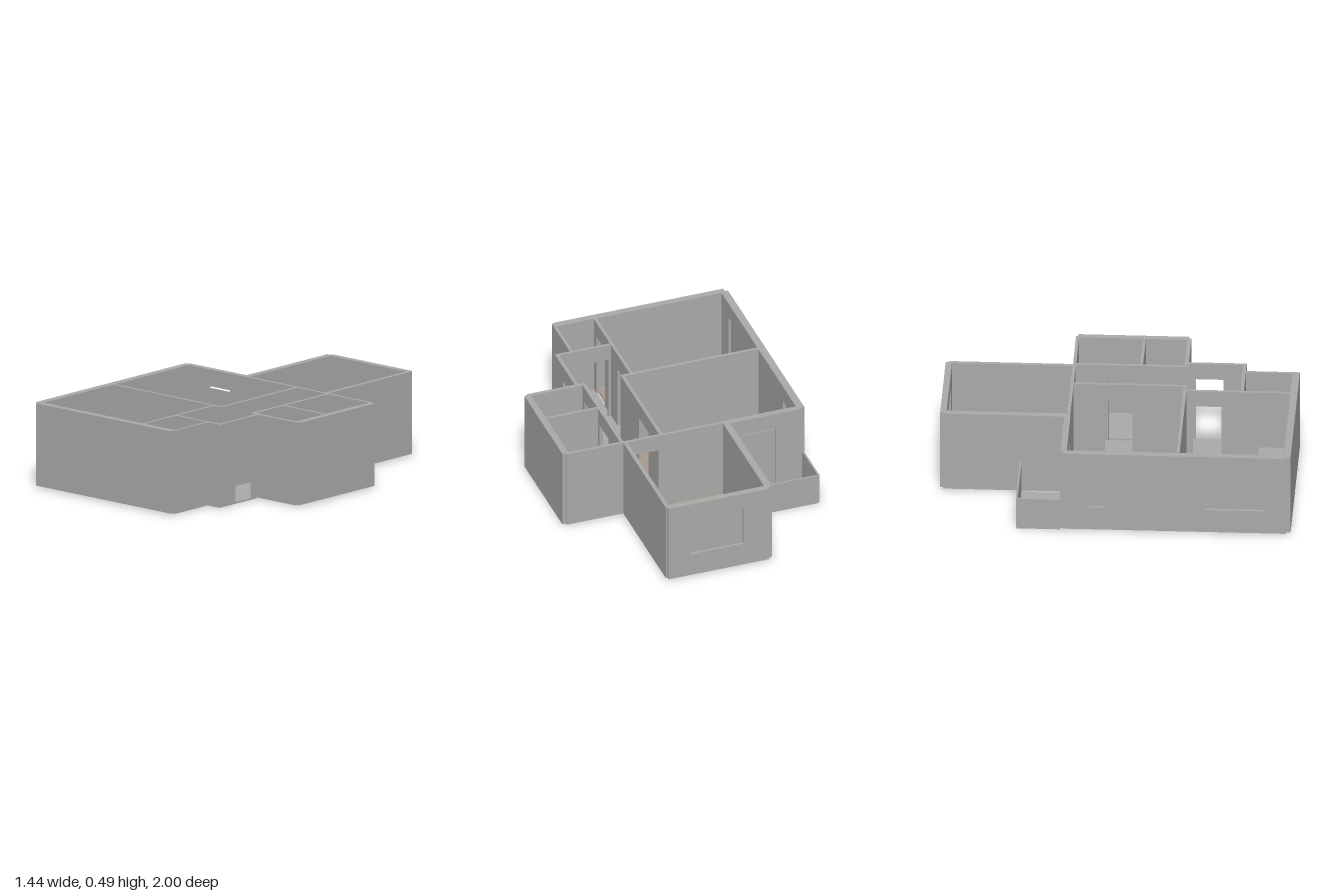
import * as THREE from 'three';

const BASE = 0.01, TOP = 0.487, HEAD = 0.39, SILL = 0.15;

export function createModel() {
  const house = new THREE.Group();
  house.name = 'floorPlanHouse';
  const plaster = new THREE.MeshStandardMaterial({ color: 0xaaaaa8 });
  plaster.name = 'plasterGrey';
  const wood = new THREE.MeshStandardMaterial({ color: 0xab998c });
  wood.name = 'woodBrown';

  function add(name, geometry, material) {
    const mesh = new THREE.Mesh(geometry, material);
    mesh.name = name;
    house.add(mesh);
    return mesh;
  }

  // Upright panel on the line x = at or z = at, running from a to b
  function place(mesh, axis, at, thick) {
    if (axis === 'x') mesh.position.z = at - thick / 2;
    else {
      mesh.rotation.y = -Math.PI / 2;
      mesh.position.x = at + thick / 2;
    }
  }

  // Wall with door notches and window holes; axis is the direction it runs
  function wall(name, axis, at, thick, a, b, { doors = [], windows = [], top = TOP } = {}) {
    const shape = new THREE.Shape();
    shape.moveTo(a, BASE);
    for (const [d0, d1] of doors) {
      shape.lineTo(d0, BASE);
      shape.lineTo(d0, HEAD);
      shape.lineTo(d1, HEAD);
      shape.lineTo(d1, BASE);
    }
    shape.lineTo(b, BASE);
    shape.lineTo(b, top);
    shape.lineTo(a, top);
    shape.closePath();
    for (const [w0, w1] of windows) {
      const hole = new THREE.Path();
      hole.moveTo(w0, SILL);
      hole.lineTo(w0, HEAD);
      hole.lineTo(w1, HEAD);
      hole.lineTo(w1, SILL);
      hole.closePath();
      shape.holes.push(hole);
      panel(name + 'Pane', axis, at, w0, w1, SILL, HEAD);
    }
    const geometry = new THREE.ExtrudeGeometry(shape, { depth: thick, bevelEnabled: false });
    place(add(name, geometry, plaster), axis, at, thick);
  }

  // Thin pane set in the middle of an opening
  function panel(name, axis, at, a, b, y0, y1) {
    const t = 0.008;
    const geometry = new THREE.BoxGeometry(b - a, y1 - y0, t);
    geometry.translate((a + b) / 2, (y0 + y1) / 2, t / 2);
    place(add(name, geometry, plaster), axis, at, t);
  }

  function floor(name, x0, x1, z0, z1, material) {
    const geometry = new THREE.BoxGeometry(x1 - x0, BASE, z1 - z0);
    geometry.translate((x0 + x1) / 2, BASE / 2, (z0 + z1) / 2);
    add(name, geometry, material);
  }

  // Floors
  floor('backBedroomFloor', -0.23, 0.325, -0.955, -0.285, wood);
  floor('livingRoomFloor', -0.68, 0.12, -0.255, 0.345, wood);
  floor('frontBedroomFloor', -0.68, 0.065, 0.375, 0.955, wood);
  floor('hallFloorBack', 0.135, 0.355, -0.265, 0.37, plaster);
  floor('hallFloorFront', 0.085, 0.4, 0.37, 0.68, plaster);
  floor('closetFloor', 0.085, 0.31, 0.695, 0.955, plaster);
  floor('bathroomFloor', 0.375, 0.68, -0.255, 0.1, plaster);
  floor('washroomFloor', 0.375, 0.68, 0.11, 0.35, plaster);
  floor('balconyFloor', -0.715, -0.295, -0.545, -0.3, plaster);

  // Outer walls
  wall('leftSideWall', 'z', -0.7025, 0.043, -0.285, 0.975,
    { windows: [[-0.14, -0.05], [0.52, 0.85]] });
  wall('frontWall', 'x', 0.98, 0.04, -0.705, 0.32);
  wall('backWall', 'x', -0.982, 0.036, -0.256, 0.35, { windows: [[-0.1, 0.22]] });
  wall('backBedroomLeftWall', 'z', -0.256, 0.04, -0.982, -0.27);
  wall('backBedroomRightWall', 'z', 0.348, 0.024, -0.982, -0.27);
  wall('balconyWall', 'x', -0.282, 0.036, -0.705, -0.275, { doors: [[-0.55, -0.37]] });
  panel('balconyDoor', 'x', -0.282, -0.55, -0.37, BASE, HEAD - 0.015);
  wall('bathroomBackWall', 'x', -0.273, 0.018, 0.35, 0.7);
  wall('bathroomRightWall', 'z', 0.702, 0.038, -0.27, 0.358);
  wall('washroomFrontWall', 'x', 0.358, 0.022, 0.355, 0.702);
  wall('entranceWall', 'z', 0.405, 0.02, 0.365, 0.685, { doors: [[0.41, 0.565]] });
  wall('closetRightWall', 'z', 0.317, 0.016, 0.685, 0.988);

  // Inner walls
  wall('backBedroomFrontWall', 'x', -0.275, 0.018, -0.275, 0.36, { doors: [[0.15, 0.305]] });
  wall('livingRoomRightWall', 'z', 0.131, 0.018, -0.275, 0.37, { doors: [[-0.09, 0.065]] });
  wall('livingRoomFrontWall', 'x', 0.364, 0.018, -0.705, 0.13);
  wall('frontBedroomRightWall', 'z', 0.076, 0.018, 0.365, 0.98,
    { doors: [[0.41, 0.57], [0.78, 0.92]] });
  wall('hallFrontWall', 'x', 0.687, 0.018, 0.076, 0.415, { doors: [[0.1, 0.25]] });
  wall('hallRightWall', 'z', 0.365, 0.02, -0.275, 0.369,
    { doors: [[-0.08, 0.07], [0.17, 0.32]] });
  wall('bathroomDivider', 'x', 0.105, 0.016, 0.365, 0.7);

  // Balcony parapet
  wall('balconyBackParapet', 'x', -0.545, 0.01, -0.72, -0.275, { top: 0.19 });
  wall('balconyLeftParapet', 'z', -0.715, 0.01, -0.545, -0.285, { top: 0.19 });

  return house;
}
